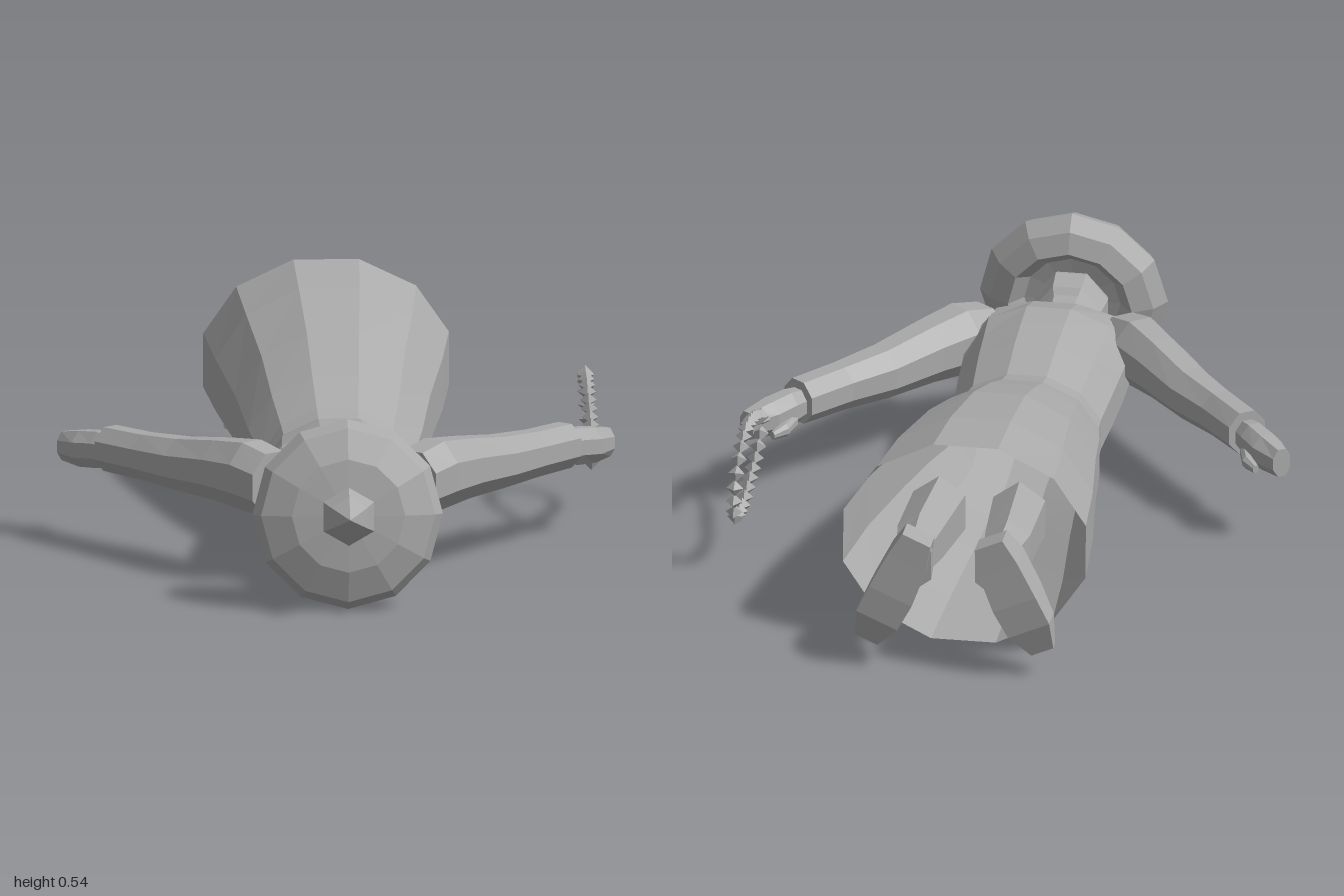
import * as THREE from 'three';

const V = (x, y, z) => new THREE.Vector3(x, y, z);

// Closed loop of n points around centre c, facing direction d, half sizes a (across) and b (along up)
function ring(c, d, up, a, b, n, phase = Math.PI / n) {
  const u = up.clone().cross(d).normalize();
  const v = d.clone().cross(u).normalize();
  const k = 1 / Math.cos(Math.PI / n);
  return Array.from({ length: n }, (_, i) => {
    const t = phase + (i / n) * Math.PI * 2;
    return c.clone().addScaledVector(u, a * k * Math.cos(t)).addScaledVector(v, b * k * Math.sin(t));
  });
}

// Skin between successive rings, with optional end caps
function loft(rings, capStart = true, capEnd = true) {
  const pos = [];
  const tri = (...p) => p.forEach((q) => pos.push(q.x, q.y, q.z));
  const n = rings[0].length;
  const mid = (r) => r.reduce((s, p) => s.add(p), V(0, 0, 0)).divideScalar(n);
  for (let i = 0; i < rings.length - 1; i++) {
    for (let j = 0; j < n; j++) {
      const k = (j + 1) % n;
      const [A, B] = [rings[i], rings[i + 1]];
      tri(A[j], A[k], B[k]);
      tri(A[j], B[k], B[j]);
    }
  }
  const first = rings[0], last = rings[rings.length - 1];
  for (let j = 0; j < n; j++) {
    const k = (j + 1) % n;
    if (capStart) tri(mid(first), first[k], first[j]);
    if (capEnd) tri(mid(last), last[j], last[k]);
  }
  const g = new THREE.BufferGeometry();
  g.setAttribute('position', new THREE.Float32BufferAttribute(pos, 3));
  g.computeVertexNormals();
  return g;
}

export function createModel() {
  const group = new THREE.Group();
  const stone = new THREE.MeshStandardMaterial({ color: 0xaaaaaa, flatShading: true, side: THREE.DoubleSide });
  stone.name = 'grey';
  const add = (name, geo, parent = group) => {
    const m = new THREE.Mesh(geo, stone);
    m.name = name;
    parent.add(m);
    return m;
  };
  const Y = V(0, 1, 0), back = V(0, 0, -1);

  // Robe: [z, half width, bottom y, top y], open at the hem
  const robe = [
    [0.585, 0.085, 0.17, 0.305], [0.52, 0.2, 0.15, 0.34], [0.42, 0.205, 0.085, 0.37],
    [0.33, 0.2, 0.055, 0.365], [0.23, 0.195, 0.045, 0.355], [0.1, 0.185, 0.037, 0.33],
    [0.04, 0.19, 0.033, 0.342], [-0.1, 0.215, 0.03, 0.395], [-0.3, 0.24, 0.03, 0.46],
    [-0.58, 0.28, 0.03, 0.515], [-0.82, 0.303, 0.03, 0.54],
  ].map(([z, w, lo, hi]) => ring(V(0, (lo + hi) / 2, z), back, Y, w, (hi - lo) / 2, 12));
  // the hem rises slightly along the back
  robe[robe.length - 1].forEach((p) => { p.z += (p.y - 0.285) * 0.06; });
  add('robe', loft(robe, true, false));

  // Neck and head, face down
  add('neck', loft([
    ring(V(0, 0.22, 0.72), back, Y, 0.075, 0.075, 8),
    ring(V(0, 0.22, 0.64), back, Y, 0.068, 0.065, 8),
    ring(V(0, 0.235, 0.56), back, Y, 0.085, 0.07, 8),
  ]));
  add('head', loft([
    ring(V(0, 0.21, 0.82), back, Y, 0.08, 0.09, 8),
    ring(V(0, 0.205, 0.75), back, Y, 0.092, 0.11, 8),
    ring(V(0, 0.2, 0.69), back, Y, 0.085, 0.105, 8),
    ring(V(0, 0.19, 0.64), back, Y, 0.05, 0.06, 8),
  ]));
  add('beard', loft([
    ring(V(0, 0.135, 0.72), back, Y, 0.06, 0.045, 6),
    ring(V(0, 0.13, 0.64), back, Y, 0.055, 0.04, 6),
    ring(V(0, 0.105, 0.56), back, Y, 0.032, 0.025, 6),
    ring(V(0, 0.07, 0.48), back, Y, 0.002, 0.002, 6),
  ]));

  // Round hat with hollow underside, and its pointed knob
  const hat = new THREE.Group();
  hat.name = 'hat';
  hat.position.set(0, 0.238, 0.8);
  hat.rotation.x = Math.PI / 2 - 0.13;
  group.add(hat);
  const lathe = (pts, n) => new THREE.LatheGeometry(pts.map((p) => new THREE.Vector2(...p)), n);
  add('brim', lathe([
    [0, -0.02], [0.12, -0.03], [0.155, -0.068], [0.205, -0.045], [0.235, -0.005],
    [0.215, 0.035], [0.14, 0.065], [0, 0.078],
  ], 12), hat);
  add('knob', lathe([[0.062, 0.06], [0.072, 0.085], [0.052, 0.13], [0, 0.2]], 6), hat);

  for (const s of [1, -1]) {
    const side = s > 0 ? 'left' : 'right';

    // Arms run outward and back: t along the arm, o across it
    const dir = V(0.61 * s, 0, -0.79);
    const at = (t, o, y) => V(s * (0.61 * t + 0.79 * o), y, -0.79 * t + 0.61 * o);
    const armRing = ([t, o, y, w, h]) => ring(at(t, o, y), dir, Y, w, h, 8);
    add(side + 'Sleeve', loft([
      [-0.29, 0.44, 0.25, 0.07, 0.08], [-0.21, 0.447, 0.262, 0.072, 0.085],
      [-0.1, 0.45, 0.26, 0.066, 0.075], [0.05, 0.453, 0.25, 0.06, 0.064],
      [0.18, 0.462, 0.248, 0.05, 0.057], [0.315, 0.467, 0.247, 0.05, 0.055],
    ].map(armRing)));
    add(side + 'Hand', loft([
      [0.3, 0.467, 0.24, 0.03, 0.038], [0.35, 0.467, 0.238, 0.036, 0.046],
      [0.41, 0.472, 0.232, 0.04, 0.045], [0.48, 0.476, 0.228, 0.024, 0.036],
    ].map(armRing)));
    add(side + 'Thumb', loft([
      [0.35, 0.445, 0.215, 0.016, 0.018], [0.4, 0.425, 0.21, 0.016, 0.017],
      [0.44, 0.425, 0.205, 0.008, 0.01],
    ].map(armRing)));

    // Legs inside the robe
    add(side + 'Leg', loft([
      ring(V(0.1 * s, 0.27, -0.6), back, Y, 0.065, 0.08, 6),
      ring(V(0.11 * s, 0.285, -0.83), back, Y, 0.056, 0.068, 6),
      ring(V(0.108 * s, 0.29, -0.91), back, Y, 0.045, 0.058, 6),
      ring(V(0.105 * s, 0.295, -0.985), back, Y, 0.05, 0.065, 6),
    ]));

    // Feet point down and outward, soles facing back
    const toe = V(0.4 * s, -0.9, 0).normalize();
    const sole = V(0, 0, -1);
    add(side + 'Foot', loft([
      [0.09, 0.365, -0.965, 0.038, 0.034], [0.115, 0.3, -0.95, 0.052, 0.049],
      [0.155, 0.21, -0.955, 0.058, 0.045], [0.19, 0.14, -0.96, 0.056, 0.034],
      [0.22, 0.075, -0.955, 0.03, 0.014],
    ].map(([x, y, z, w, h]) => ring(V(x * s, y, z), toe, sole, w, h, 4))));
  }

  // Loop of beads hanging from the left hand
  const loop = new THREE.CatmullRomCurve3([
    [0.245, -0.08], [0.285, -0.16], [0.325, -0.26], [0.338, -0.38], [0.295, -0.46],
    [0.23, -0.485], [0.155, -0.46], [0.125, -0.36], [0.15, -0.24], [0.19, -0.13],
  ].map(([y, z]) => V(0.645 - y * 0.06, y, z)), true);
  const beads = new THREE.Group();
  beads.name = 'beads';
  group.add(beads);
  const bead = new THREE.OctahedronGeometry(0.021);
  const count = 27;
  for (let i = 0; i < count; i++) {
    const m = add('bead', bead, beads);
    m.position.copy(loop.getPointAt(i / count));
    const t = loop.getTangentAt(i / count);
    m.rotation.x = Math.atan2(t.z, t.y);
  }
  add('beadCord', new THREE.TubeGeometry(loop, 54, 0.003, 4, true), beads);

  return group;
}
